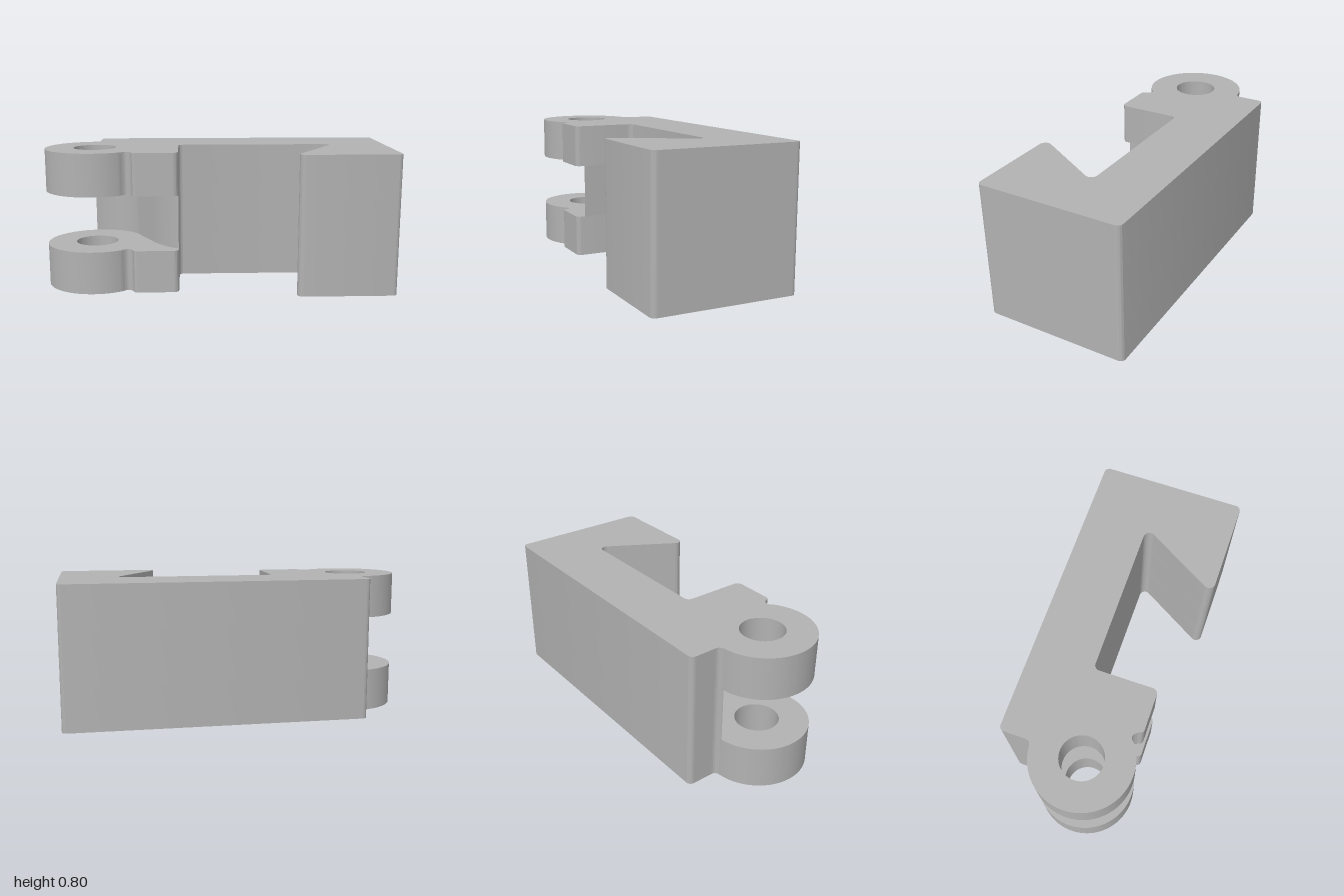
import * as THREE from 'three';
import { toCreasedNormals } from 'three/addons/utils/BufferGeometryUtils.js';

const HINGE = { x: -0.715, z: 0.047, r: 0.285, bore: 0.122 };
const BACK_ANGLE = Math.atan2(-0.283, -0.035); // where the knuckle meets the back step

// Adds a true arc of radius r at corner p between neighbours a and b
function roundCorner(shape, a, p, b, r) {
  const P = new THREE.Vector2(...p);
  const u = new THREE.Vector2(...a).sub(P).normalize();
  const v = new THREE.Vector2(...b).sub(P).normalize();
  const half = Math.acos(u.dot(v)) / 2;
  const t = r / Math.tan(half);
  const c = u.clone().add(v).normalize().multiplyScalar(r / Math.sin(half)).add(P);
  const s = P.clone().addScaledVector(u, t).sub(c);
  const e = P.clone().addScaledVector(v, t).sub(c);
  shape.absarc(c.x, c.y, r, s.angle(), e.angle(), s.cross(e) < 0);
}

// Plan outline shared by every layer, drawn in x and z; finish draws the hinge end
function bodyOutline(lastPoint, finish) {
  const start = [-0.715, -0.27];
  const corners = [
    [-0.715, -0.42, 0.03], [1, -0.42, 0.03], [1, 0.42, 0.03],
    [0.41, 0.42, 0.035], [0.69, -0.06, 0.035], [-0.23, -0.06, 0.03],
  ];
  const shape = new THREE.Shape();
  shape.moveTo(...start);
  corners.forEach(([x, z, r], i) => {
    const a = i ? corners[i - 1].slice(0, 2) : start;
    const b = i < corners.length - 1 ? corners[i + 1].slice(0, 2) : lastPoint;
    roundCorner(shape, a, [x, z], b, r);
  });
  finish(shape);
  shape.quadraticCurveTo(-0.715, -0.238, ...start);
  return shape;
}

// Layer with the round hinge knuckle and its bore
function lugShape() {
  const shape = bodyOutline([-0.23, 0.31], (s) => {
    roundCorner(s, [-0.23, 0], [-0.23, 0.31], [-0.48, 0.31], 0.03);
    roundCorner(s, [-0.23, 0.31], [-0.487, 0.31], [-0.487, 0.2], 0.022);
    s.quadraticCurveTo(-0.515, 0.235, -0.55, 0.279);
    s.absarc(HINGE.x, HINGE.z, HINGE.r, Math.atan2(0.232, 0.165), BACK_ANGLE + Math.PI * 2, false);
  });
  const bore = new THREE.Path();
  bore.absarc(HINGE.x, HINGE.z, HINGE.bore, 0, Math.PI * 2, true);
  shape.holes.push(bore);
  return shape;
}

// Layer with the knuckle cut away to leave the hinge slot
function slotShape() {
  return bodyOutline([-0.23, 0.26], (s) => {
    s.lineTo(-0.23, 0.26);
    s.quadraticCurveTo(-0.315, 0.2, -0.37, 0.107);
    s.lineTo(-0.48, -0.11);
    s.absarc(HINGE.x, HINGE.z, HINGE.r, Math.atan2(-0.157, 0.235), BACK_ANGLE, true);
  });
}

export function createModel() {
  const group = new THREE.Group();
  group.name = 'hingedClampJaw';
  const grey = new THREE.MeshStandardMaterial({ color: 0xb2b2b2 });
  grey.name = 'plain grey';

  // Three stacked layers: lug, slot, lug
  const layers = [
    ['lowerLugLayer', lugShape(), 0, 0.243],
    ['slotLayer', slotShape(), 0.243, 0.557],
    ['upperLugLayer', lugShape(), 0.557, 0.8],
  ];
  for (const [name, shape, bottom, top] of layers) {
    const geo = new THREE.ExtrudeGeometry(shape, {
      depth: top - bottom, bevelEnabled: false, curveSegments: 32,
    });
    geo.rotateX(Math.PI / 2).translate(0, top, 0);
    const mesh = new THREE.Mesh(toCreasedNormals(geo, 0.5), grey);
    mesh.name = name;
    group.add(mesh);
  }
  return group;
}
